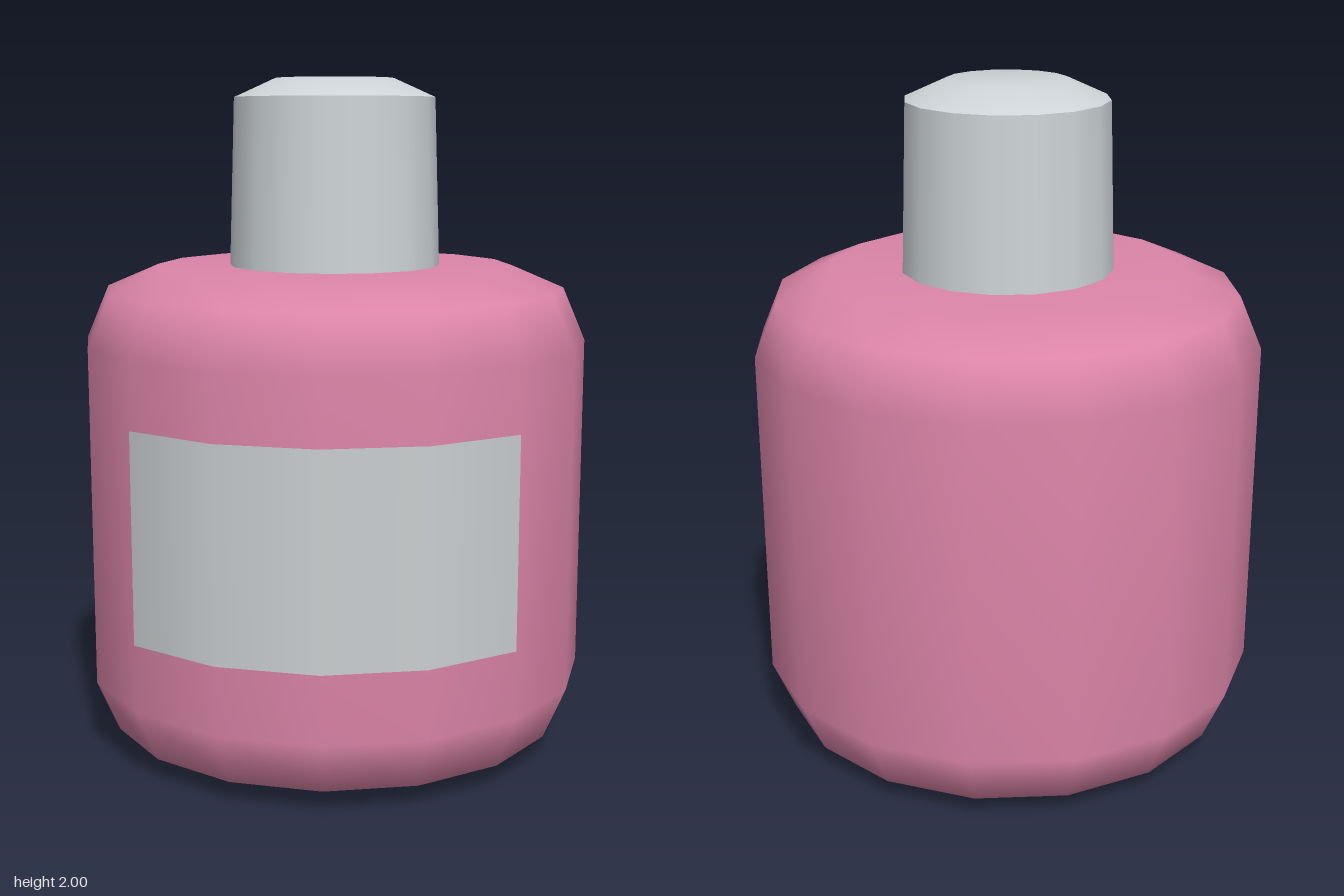
import * as THREE from 'three';

const SIDES = 16;
const STEP = (Math.PI * 2) / SIDES;

export function createModel() {
  const pink = new THREE.MeshStandardMaterial({ color: 0xdc85a8 });
  pink.name = 'pink glass';
  const silver = new THREE.MeshStandardMaterial({ color: 0xced4d7 });
  silver.name = 'silver cap';
  const paper = new THREE.MeshStandardMaterial({ color: 0xcbcfd1, side: THREE.DoubleSide });
  paper.name = 'grey label';

  const model = new THREE.Group();
  model.name = 'bottle';

  // Turned part from [radius, height] pairs, starting half a side off the front
  const turn = (name, profile, material, z, first = 0.5, count = SIDES) => {
    const points = profile.map(([r, y]) => new THREE.Vector2(r, y));
    const geometry = new THREE.LatheGeometry(points, count, first * STEP, count * STEP);
    const mesh = new THREE.Mesh(geometry, material);
    mesh.name = name;
    mesh.position.z = z;
    model.add(mesh);
  };

  // Rounded body with bevelled shoulder and base
  turn('body', [
    [0, 0], [0.53, 0], [0.687, 0.068], [0.754, 0.225],
    [0.754, 1.228], [0.687, 1.385], [0.53, 1.452], [0, 1.452],
  ], pink, -0.007);

  // Slightly tapered cap with a domed top
  turn('capSide', [[0.315, 1.43], [0.298, 1.945]], silver, -0.007);
  turn('capTop', [[0.298, 1.945], [0.176, 2], [0, 2]], silver, -0.007);

  // Label wrapped over four sides, standing just off the body
  turn('label', [[0.754, 0.43], [0.754, 1.042]], paper, 0.007, -1.5, 4);

  return model;
}
